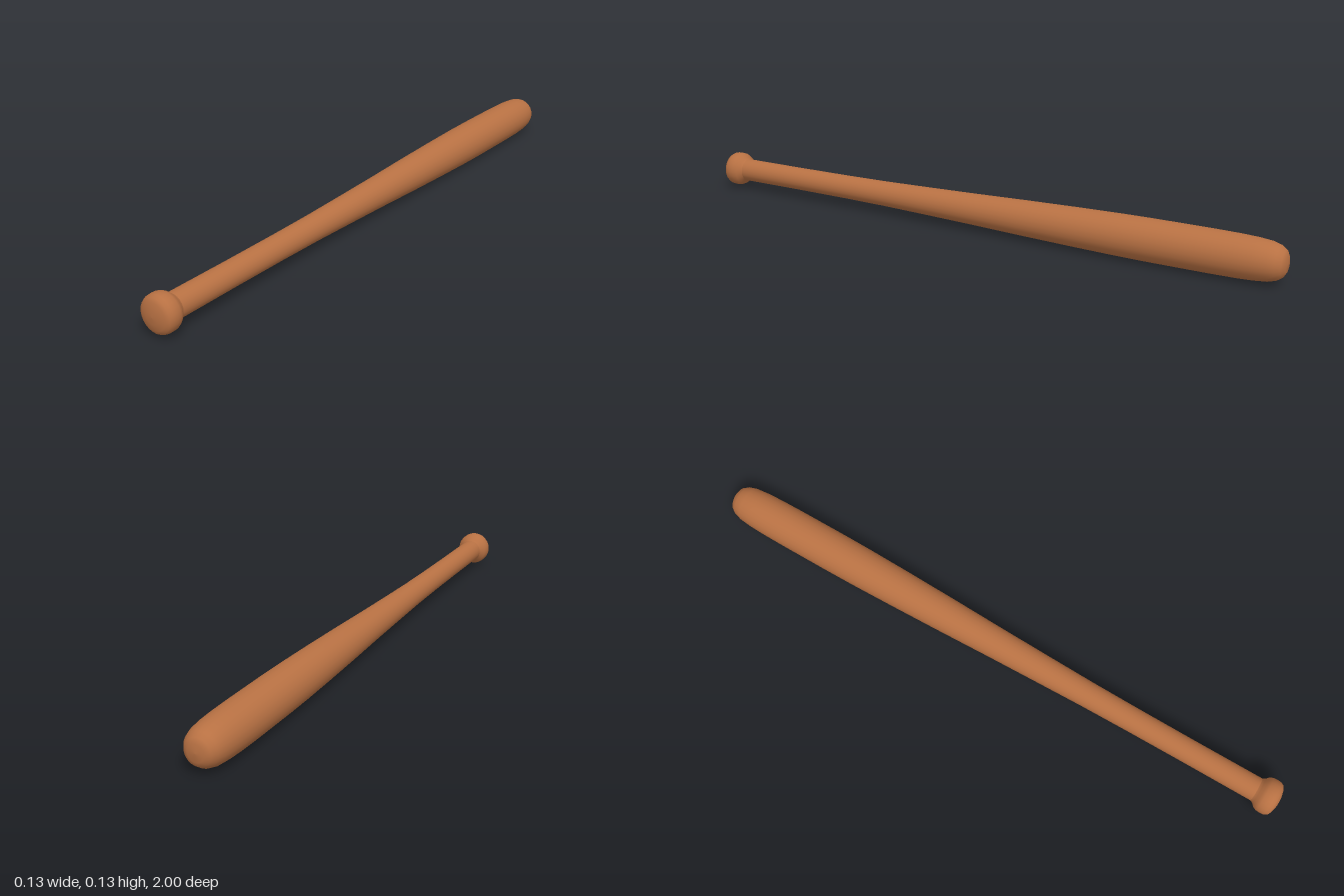
import * as THREE from 'three';

const RADIUS = 0.065;

export function createModel() {
  const bat = new THREE.Group();
  bat.name = 'bat';
  const wood = new THREE.MeshStandardMaterial({ color: 0xb87143 });

  // Turns a [radius, z] profile around the long axis, from back to front
  const turned = (name, profile) => {
    const points = profile.map(([r, z]) => new THREE.Vector2(r, z));
    const geometry = new THREE.LatheGeometry(points, 24).rotateX(Math.PI / 2);
    const mesh = new THREE.Mesh(geometry, wood);
    mesh.name = name;
    mesh.position.y = RADIUS;
    bat.add(mesh);
  };

  // Barrel with a rounded tip, tapering into the handle
  turned('barrelAndHandle', [
    [0, -1], [0.025, -0.998], [0.04, -0.99], [0.051, -0.974], [0.058, -0.95],
    [0.062, -0.91], [0.064, -0.86], [RADIUS, -0.78], [RADIUS, -0.6], [0.064, -0.5],
    [0.061, -0.36], [0.056, -0.18], [0.05, 0], [0.045, 0.18], [0.041, 0.34],
    [0.039, 0.5], [0.038, 0.7], [0.038, 0.95],
  ]);

  // Flared knob with a slightly domed end
  turned('knob', [
    [0.038, 0.925], [0.042, 0.933], [0.051, 0.941], [0.056, 0.952], [0.057, 0.965],
    [0.056, 0.978], [0.051, 0.988], [0.04, 0.994], [0.02, 0.999], [0, 1],
  ]);

  return bat;
}
